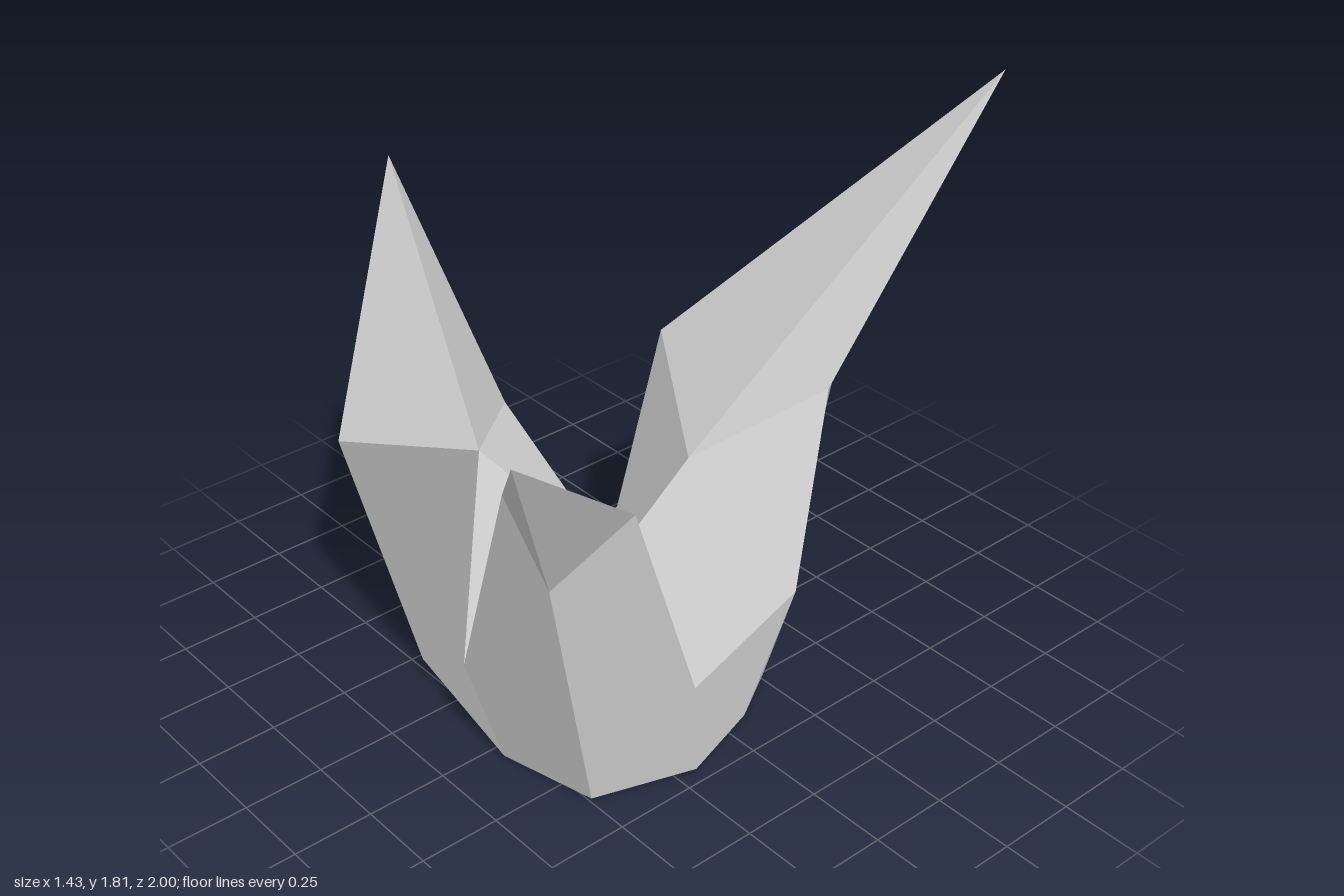
import * as THREE from 'three';

const v = (x, y, z) => new THREE.Vector3(x, y, z);

// Each polygon is a fan round its first corner (counter-clockwise from outside), shaded as one facet
function facetMesh(name, polygons, material) {
  const points = [], normals = [];
  for (const p of polygons) {
    const normal = v(0, 0, 0);
    for (let i = 1; i < p.length - 1; i++) {
      points.push(p[0], p[i], p[i + 1]);
      normal.add(p[i].clone().sub(p[0]).cross(p[i + 1].clone().sub(p[0])));
    }
    normal.normalize();
    while (normals.length < points.length * 3) normals.push(...normal.toArray());
  }
  const geometry = new THREE.BufferGeometry().setFromPoints(points);
  geometry.setAttribute('normal', new THREE.Float32BufferAttribute(normals, 3));
  const mesh = new THREE.Mesh(geometry, material);
  mesh.name = name;
  return mesh;
}

// Pairs of neighbouring points round a closed ring
const ringPairs = ring => ring.map((p, i) => [p, ring[(i + 1) % ring.length]]);

export function createModel() {
  const group = new THREE.Group();
  group.name = 'spikyTuft';
  const material = new THREE.MeshStandardMaterial({ color: 0xcccccc });

  // Eight-sided foot, counter-clockwise from above
  const foot = [
    [-0.47, 0.48], [0.055, 0.57], [0.362, 0.497], [0.46, 0.188],
    [0.372, -0.083], [0.265, -0.26], [-0.177, -0.325], [-0.513, 0],
  ].map(([x, z]) => v(x, 0.01, z));

  // Valleys between the spikes, and the middle of the hollow
  const frontValley = v(0.005, 0.355, 0.66);
  const rightValley = v(0.4, 0.243, 0.142);
  const rightNotch = v(0.412, 0.41, -0.235);
  const leftNotch = v(-0.39, 0.302, -0.235);
  const leftValley = v(-0.27, 0.315, 0.12);
  const middle = v(0.053, 0.515, 0.15);

  // Spikes: a ring of shoulders and a tip
  const left = {
    tip: v(-0.72, 1.563, 0.32),
    ring: [v(-0.605, 0.795, 0.632), v(-0.235, 0.845, 0.402), v(-0.46, 0.8, 0.138)],
  };
  const front = {
    tip: v(0.714, 1.493, 1.0),
    ring: [v(0.215, 1.03, 0.66), v(0.442, 0.86, 0.69), v(0.476, 1.0, 0.43)],
  };
  const back = {
    tip: v(0.383, 1.81, -1.0),
    ring: [v(0.08, 0.76, -0.11), v(0.345, 1.0, -0.4), v(0.21, 0.985, -0.575), v(-0.293, 0.945, -0.33)],
  };
  for (const [name, s] of Object.entries({ leftSpike: left, frontSpike: front, backSpike: back }))
    group.add(facetMesh(name, ringPairs(s.ring).map(([p, q]) => [p, q, s.tip]), material));

  const [lOuter, lInner, lBack] = left.ring;
  const [fLeft, fOuter, fBack] = front.ring;
  const [kInner, kRight, kOuter, kLeft] = back.ring;

  // Outer walls: one per foot side, listing the upper corners from right to left
  const wallTops = [
    [frontValley, lInner, lOuter],
    [fOuter, fLeft, frontValley],
    [rightValley, fBack, fOuter],
    [rightNotch, rightValley],
    [kOuter, kRight, rightNotch],
    [leftNotch, kLeft, kOuter],
    [leftValley, leftNotch],
    [lOuter, lBack, leftValley],
  ];
  group.add(facetMesh('outerWalls',
    ringPairs(foot).map(([p, q], i) => [q, ...wallTops[i], p]), material));

  // Inner hollow, falling from the shoulders to the middle
  group.add(facetMesh('innerHollow', [
    [middle, frontValley, fLeft],
    [middle, fLeft, fBack],
    [middle, fBack, rightValley],
    [rightNotch, kRight, kInner, middle, rightValley],
    [middle, kInner, kLeft, leftNotch, leftValley],
    [middle, leftValley, lBack],
    [middle, lBack, lInner],
    [middle, lInner, frontValley],
  ], material));

  // Underside, very slightly bulged
  const under = v(0, 0, 0.12);
  group.add(facetMesh('underside', ringPairs(foot).map(([p, q]) => [under, q, p]), material));

  return group;
}
